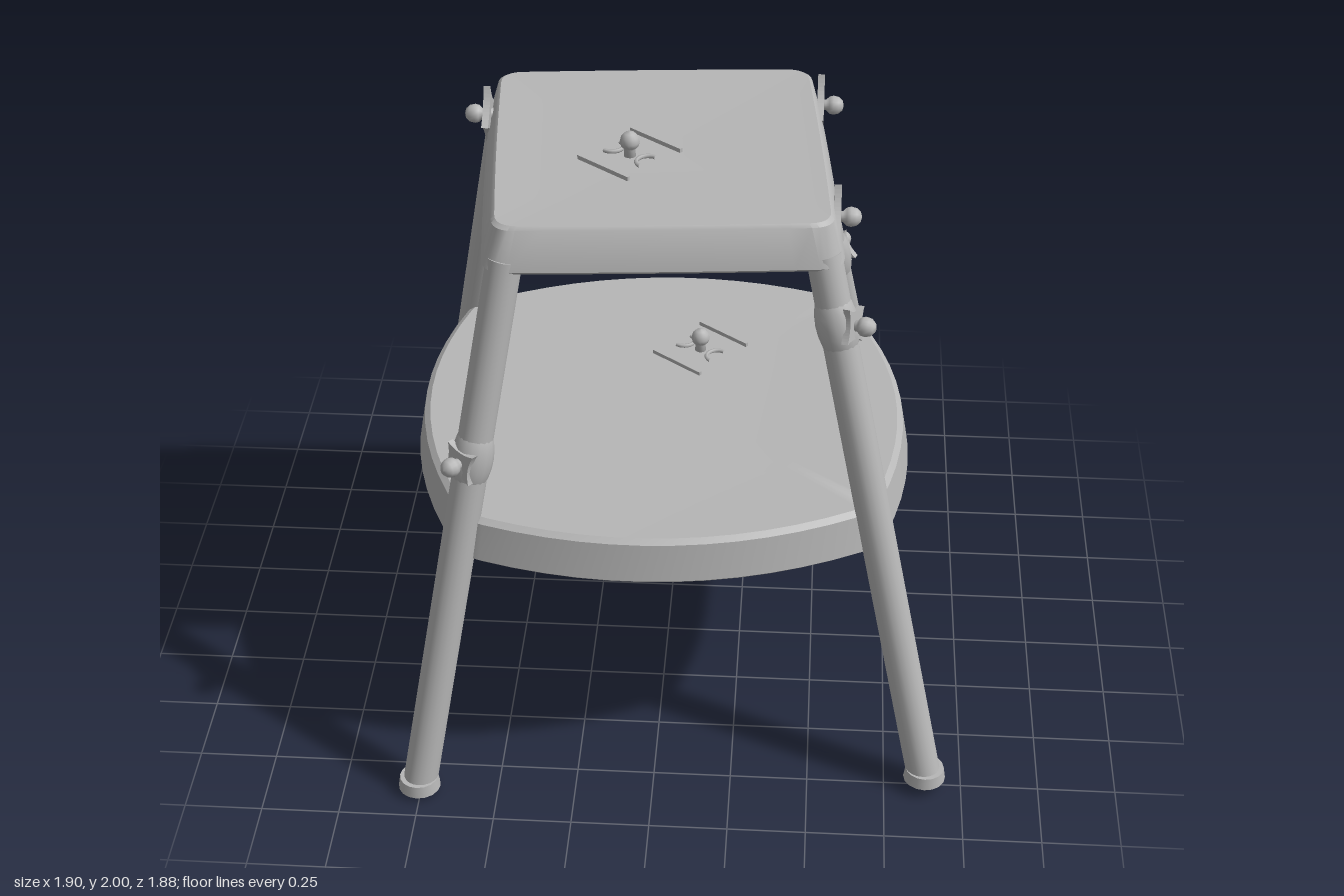
import * as THREE from 'three';
import { mergeGeometries, toCreasedNormals } from 'three/addons/utils/BufferGeometryUtils.js';

const grey = new THREE.MeshStandardMaterial({ color: 0xb6b6b6 });
grey.name = 'plain grey';
const V = (x, y, z) => new THREE.Vector3(x, y, z);
const CENTER = [-0.025, 0];

function mesh(name, geometry, parent) {
  const m = new THREE.Mesh(geometry, grey);
  m.name = name;
  parent.add(m);
  return m;
}

// Four-cornered outline with bulging sides and rounded corners, as [x, z] points.
function outline(corners, bulge, round) {
  const P = corners.map(([x, z]) => new THREE.Vector2(x, z));
  const c = new THREE.Vector2(...CENTER);
  const sides = P.map((a, i) => {
    const b = P[(i + 1) % 4];
    const mid = a.clone().add(b).multiplyScalar(0.5);
    const out = mid.clone().sub(c).normalize();
    return new THREE.QuadraticBezierCurve(a, mid.addScaledVector(out, bulge * 2), b);
  });
  const pts = [];
  sides.forEach((s, i) => {
    for (let k = 0; k <= 12; k++) pts.push(s.getPoint(round + (1 - 2 * round) * k / 12));
    const next = sides[(i + 1) % 4];
    const bend = new THREE.QuadraticBezierCurve(s.getPoint(1 - round), P[(i + 1) % 4], next.getPoint(round));
    for (let k = 1; k < 6; k++) pts.push(bend.getPoint(k / 6));
  });
  return pts;
}

// Skin over rings of [outline, scale, y]; scale 0 closes an end.
function loft(rings) {
  const at = ([o, s, y], i) => {
    const p = o[i % o.length];
    return [CENTER[0] + (p.x - CENTER[0]) * s, y, CENTER[1] + (p.y - CENTER[1]) * s];
  };
  const pos = [];
  for (let j = 0; j < rings.length - 1; j++) {
    for (let i = 0; i < rings[0][0].length; i++) {
      const a = at(rings[j], i), b = at(rings[j], i + 1);
      const c = at(rings[j + 1], i), d = at(rings[j + 1], i + 1);
      if (rings[j][1] > 0) pos.push(...a, ...c, ...b);
      if (rings[j + 1][1] > 0) pos.push(...b, ...c, ...d);
    }
  }
  const g = new THREE.BufferGeometry();
  g.setAttribute('position', new THREE.Float32BufferAttribute(pos, 3));
  return toCreasedNormals(g, 0.6);
}

// Waffle of moulded blocks and strips under a panel, leaving the middle bare.
function ribs(half, top, depth, n) {
  let seed = 7;
  const rnd = () => (seed = (seed * 16807) % 2147483647) / 2147483647;
  const step = 2 * half / n, parts = [];
  const block = (x, z, w, d) =>
    parts.push(new THREE.BoxGeometry(w, depth, d).translate(x, top - depth / 2, z));
  for (let i = 0; i < n; i++) {
    for (let j = 0; j < n; j++) {
      const x = -half + (i + 0.5) * step, z = -half + (j + 0.5) * step;
      if (Math.max(Math.abs(x), Math.abs(z)) < half * 0.36 || rnd() < 0.12) continue;
      if (x > half * 0.36) block(x, z, step * 0.45, step * 1.01);
      else if (z < -half * 0.6) block(x, z, step * 1.01, step * 0.45);
      else block(x + (j % 2 ? 0.15 : -0.15) * step, z, step * 0.6, step * 0.5);
    }
  }
  return mergeGeometries(parts).rotateY(0.085).translate(CENTER[0], 0, CENTER[1]);
}

// Round-headed peg standing on +y.
const pegGeometry = new THREE.LatheGeometry([
  [0, -0.02], [0.02, -0.02], [0.017, 0.02], [0.028, 0.032], [0.031, 0.045],
  [0.027, 0.062], [0.016, 0.074], [0, 0.078],
].map(([x, y]) => new THREE.Vector2(x, y)), 16);

// Four-pointed backing plate lying in the xz plane.
function star(r) {
  const s = new THREE.Shape();
  s.moveTo(r, 0);
  for (let k = 1; k <= 4; k++) {
    const a = k * Math.PI / 2, m = a - Math.PI / 4;
    s.quadraticCurveTo(Math.cos(m) * r * 0.4, Math.sin(m) * r * 0.4, Math.cos(a) * r, Math.sin(a) * r);
  }
  return new THREE.ExtrudeGeometry(s, { depth: 0.022, bevelEnabled: false }).rotateX(-Math.PI / 2);
}

function peg(name, parent, p, dir, plate) {
  const g = new THREE.Group();
  g.name = name;
  g.position.copy(p);
  g.quaternion.setFromUnitVectors(V(0, 1, 0), dir.clone().normalize());
  mesh('pegHead', pegGeometry, g);
  if (plate) mesh('pegPlate', star(plate), g).position.y = -0.008;
  parent.add(g);
  return g;
}

// Peg on a flat panel with creases pressed around it.
function topPeg(name, parent, p) {
  const g = peg(name, parent, p, V(0, 1, 0), 0);
  const creases = new THREE.Group();
  creases.name = 'creases';
  creases.rotation.y = -0.67;
  for (const s of [-1, 1]) {
    mesh('creaseLine', new THREE.BoxGeometry(0.21, 0.014, 0.01), creases).position.set(0, 0.003, s * 0.12);
    const arc = mesh('creaseArc', new THREE.TorusGeometry(0.036, 0.007, 6, 12, Math.PI), creases);
    arc.rotation.set(-Math.PI / 2, 0, s * Math.PI / 2);
    arc.position.set(s * 0.075, 0.002, 0);
  }
  g.add(creases);
}

export function createModel() {
  const model = new THREE.Group();
  model.name = 'stepStool';

  // Seat: tapered hollow panel
  const seat = outline([[-0.52, 0.58], [0.56, 0.49], [0.46, -0.59], [-0.62, -0.5]], 0.006, 0.07);
  mesh('seat', loft([
    [seat, 0, 1.918], [seat, 0.6, 1.918], [seat, 0.92, 1.924], [seat, 0.94, 1.914],
    [seat, 1, 1.79], [seat, 0.985, 1.78], [seat, 0.93, 1.78], [seat, 0.92, 1.83],
    [seat, 0.87, 1.83], [seat, 0.865, 1.805], [seat, 0.82, 1.805], [seat, 0.815, 1.875], [seat, 0, 1.875],
  ]), model);
  mesh('seatRibs', ribs(0.4, 1.88, 0.055, 14), model);

  // Shelf: bulging hollow panel between the legs
  const corners = [[-0.6, 0.715], [0.7, 0.585], [0.57, -0.71], [-0.735, -0.59]];
  const shelf = outline(corners, 0.155, 0.04);
  const well = outline(corners.map(([x, z]) => [x * 0.78, z * 0.78]), 0.06, 0.12);
  mesh('shelf', loft([
    [shelf, 0, 0.972], [shelf, 0.6, 0.97], [shelf, 0.95, 0.974], [shelf, 0.973, 0.96],
    [shelf, 1, 0.838], [shelf, 0.99, 0.83], [shelf, 0.955, 0.83], [shelf, 0.945, 0.885],
    [well, 1.08, 0.885], [well, 1.07, 0.855], [well, 1.01, 0.855], [well, 1, 0.925], [well, 0, 0.925],
  ]), model);
  mesh('shelfRibs', ribs(0.46, 0.93, 0.06, 18), model);

  // Legs: foot and top positions, peg height and peg direction
  const legs = [
    ['frontRightLeg', V(-0.755, 0.015, 0.87), V(-0.455, 1.81, 0.52), 1.17, V(-0.6, 0.1, 0.8)],
    ['frontLeftLeg', V(0.88, 0.035, 0.75), V(0.49, 1.81, 0.435), 1.59, V(0.9, 0.15, 0.4)],
    ['backLeftLeg', V(0.75, 0.025, -0.875), V(0.4, 1.81, -0.525), 1.16, V(0.35, 0.1, -0.9)],
    ['backRightLeg', V(-0.88, 0, -0.75), V(-0.56, 1.81, -0.44), 0.49, V(-0.9, 0.1, -0.4)],
  ];
  for (const [name, foot, top, pegY, dir] of legs) {
    const leg = new THREE.Group();
    leg.name = name;
    const axis = top.clone().sub(foot), turn = new THREE.Quaternion();
    turn.setFromUnitVectors(V(0, 1, 0), axis.clone().normalize());
    const tube = mesh('legTube', new THREE.CylinderGeometry(0.055, 0.055, axis.length() - 0.02, 20), leg);
    tube.position.copy(foot).lerp(top, 0.505);
    tube.quaternion.copy(turn);
    mesh('footPad', new THREE.CylinderGeometry(0.062, 0.068, 0.04, 16), leg)
      .position.set(foot.x, foot.y + 0.02, foot.z);
    // Swollen collar carrying the peg
    const spot = foot.clone().lerp(top, (pegY - foot.y) / axis.y);
    const collar = mesh('collar', new THREE.SphereGeometry(1, 16, 12), leg);
    collar.scale.set(0.066, 0.13, 0.066);
    collar.position.copy(spot);
    collar.quaternion.copy(turn);
    const out = dir.clone().normalize();
    peg('legPeg', leg, spot.clone().addScaledVector(out, 0.05), dir, 0.075);
    model.add(leg);
  }

  // Pegs on the seat edges and on both panels
  peg('seatSidePeg', model, V(0.525, 1.86, 0.3), V(1, 0, 0), 0.11);
  peg('seatSidePeg', model, V(0.465, 1.86, -0.42), V(1, 0, 0), 0.11);
  peg('seatSidePeg', model, V(-0.6, 1.85, -0.31), V(-1, 0, 0), 0.1);
  topPeg('seatTopPeg', model, V(-0.115, 1.922, 0.065));
  topPeg('shelfTopPeg', model, V(0.09, 0.974, -0.31));
  return model;
}
